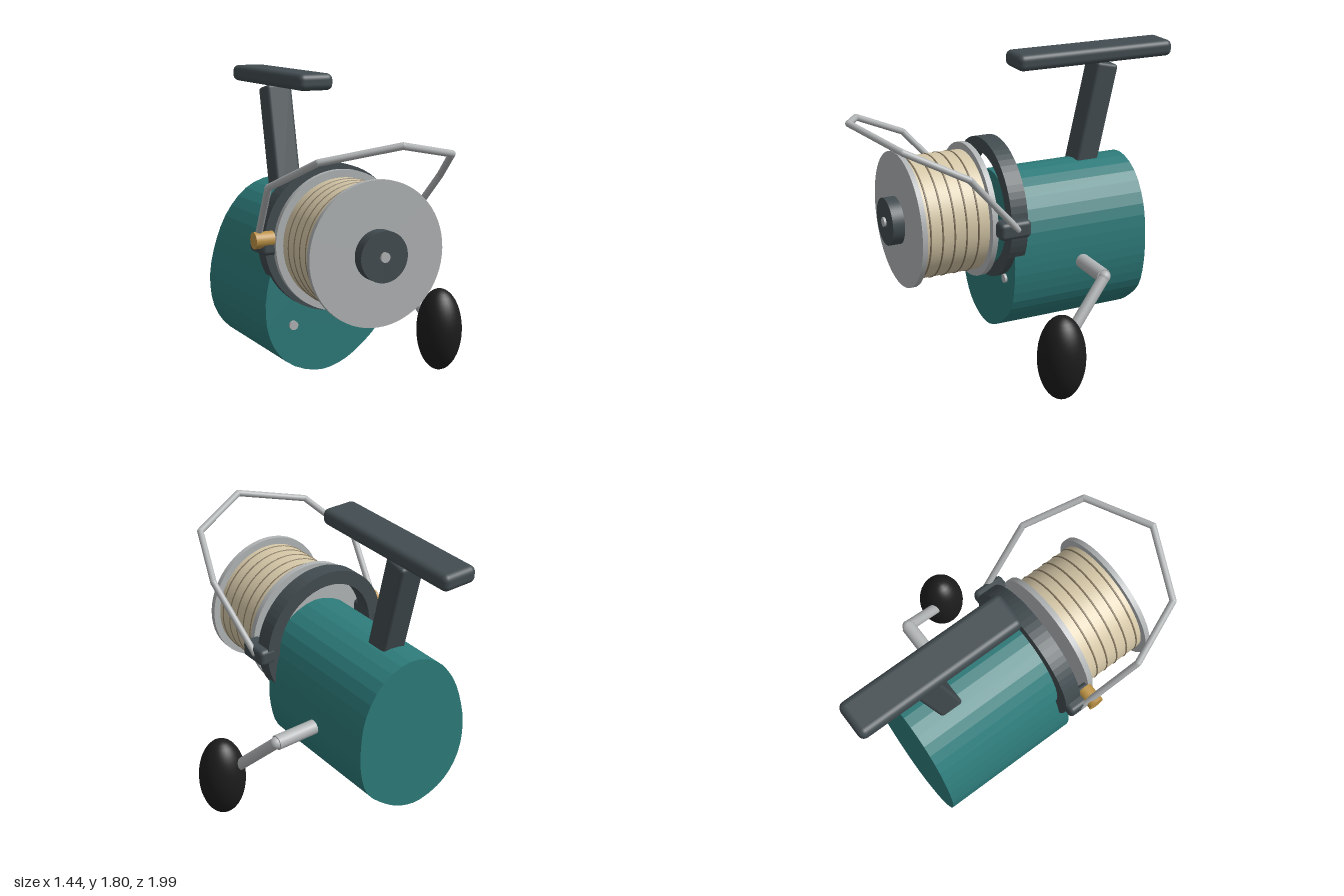
import * as THREE from 'three';
import { RoundedBoxGeometry } from 'three/addons/geometries/RoundedBoxGeometry.js';

const AX = -0.195, AY = 0.905; // spool axis

export function createModel() {
  const root = new THREE.Group();
  root.name = 'fishingReel';
  const mat = (name, color) => {
    const m = new THREE.MeshStandardMaterial({ color });
    m.name = name;
    return m;
  };
  const teal = mat('teal', 0x2d7b7a);
  const dark = mat('darkGrey', 0x424c50);
  const steel = mat('steel', 0xb2b5b6);
  const tan = mat('lineTan', 0xd6c8a8);
  const brown = mat('lineShadow', 0x85775f);
  const black = mat('gripBlack', 0x1c1c1c);
  const brass = mat('brass', 0xbd9346);

  const add = (name, geo, material, x = 0, y = 0, z = 0) => {
    const mesh = new THREE.Mesh(geo, material);
    mesh.name = name;
    mesh.position.set(x, y, z);
    root.add(mesh);
    return mesh;
  };
  // Disc or shaft along z on the spool axis
  const disc = (name, r, z0, z1, material, x = AX, y = AY, seg = 64) =>
    add(name, new THREE.CylinderGeometry(r, r, z1 - z0, seg).rotateX(Math.PI / 2), material, x, y, (z0 + z1) / 2);
  // Straight rod between two points
  const rod = (name, a, b, r, material) => {
    const dir = b.clone().sub(a);
    const mesh = add(name, new THREE.CylinderGeometry(r, r, dir.length(), 16), material);
    mesh.position.copy(a).add(b).multiplyScalar(0.5);
    mesh.quaternion.setFromUnitVectors(new THREE.Vector3(0, 1, 0), dir.normalize());
    return mesh;
  };
  const V = (x, y, z) => new THREE.Vector3(x, y, z);

  // Gear housing: egg-shaped outline extruded along z
  const outline = [
    [0.17, 0.7], [0.14, 0.89], [0.03, 1.06], [-0.15, 1.132], [-0.33, 1.08], [-0.47, 0.93],
    [-0.555, 0.73], [-0.59, 0.52], [-0.555, 0.33], [-0.45, 0.2], [-0.27, 0.14],
    [-0.13, 0.17], [-0.01, 0.245], [0.115, 0.37], [0.165, 0.54],
  ].map(([x, y]) => V(x, y, 0));
  const curve = new THREE.CatmullRomCurve3(outline, true);
  const shape = new THREE.Shape(curve.getPoints(44).slice(0, -1).map((p) => new THREE.Vector2(p.x, p.y)));
  add('body', new THREE.ExtrudeGeometry(shape, { depth: 0.85, bevelEnabled: false }), teal, 0, 0, -0.69);
  [[-0.425, 0.42], [0.04, 0.535]].forEach(([x, y]) => disc('screw', 0.026, 0.13, 0.175, steel, x, y, 16));

  // Mounting stem and foot
  const stem = add('stem', new RoundedBoxGeometry(0.16, 0.75, 0.14, 3, 0.02), dark, AX, 1.325, -0.495);
  stem.rotation.x = -0.225;
  add('foot', new RoundedBoxGeometry(0.215, 0.095, 1.0, 4, 0.035), dark, AX, 1.748, -0.495);

  // Rotor ring with its two arms
  const ringShape = new THREE.Shape().absarc(0, 0, 0.412, 0, Math.PI * 2);
  ringShape.holes.push(new THREE.Path().absarc(0, 0, 0.33, 0, Math.PI * 2, true));
  add('rotorRing', new THREE.ExtrudeGeometry(ringShape, { depth: 0.1, bevelEnabled: false, curveSegments: 32 }),
    dark, AX, AY, 0.1);
  for (const s of [1, -1]) {
    add('rotorArm', new RoundedBoxGeometry(0.11, 0.1, 0.19, 3, 0.025), dark, AX + s * 0.407, AY, 0.192);
  }
  add('lineRoller', new THREE.CylinderGeometry(0.046, 0.046, 0.11, 24).rotateZ(Math.PI / 2), brass, -0.637, 0.938, 0.247);

  // Bail wire: angular hoop mirrored about the spool axis
  const half = [[0.45, 0.91, 0.18], [0.513, 1.26, 0.49], [0.385, 1.42, 0.815], [0, 1.5, 0.98]];
  const bail = [
    ...half.map(([x, y, z]) => V(AX + x, y, z)),
    ...half.slice(0, 3).reverse().map(([x, y, z]) => V(AX - x, y, z)),
  ];
  bail.forEach((p, i) => {
    add('bailJoint', new THREE.SphereGeometry(0.019, 12, 8), steel, p.x, p.y, p.z);
    if (i) rod('bailWire', bail[i - 1], p, 0.019, steel);
  });

  // Spool: shaft, flanges, wound line and front drag knob
  disc('shaft', 0.027, 0.1, 0.81, steel, AX, AY, 20);
  disc('rearFlange', 0.392, 0.272, 0.305, steel);
  disc('frontFlange', 0.392, 0.69, 0.72, steel);
  disc('woundLine', 0.35, 0.3, 0.695, tan);
  for (let i = 0; i < 5; i++) {
    add('lineGroove', new THREE.TorusGeometry(0.348, 0.006, 6, 64), brown, AX, AY, 0.372 + i * 0.071);
  }
  disc('dragKnob', 0.137, 0.727, 0.797, dark);

  // Crank: axle, arm and oval grip
  const elbow = V(0.435, 0.615, -0.27);
  rod('crankAxle', V(0.05, 0.615, -0.27), V(0.43, 0.615, -0.27), 0.043, steel);
  add('crankElbow', new THREE.SphereGeometry(0.035, 16, 12), steel, elbow.x, elbow.y, elbow.z);
  rod('crankArm', elbow, V(0.54, 0.28, 0.05), 0.033, steel);
  add('grip', new THREE.SphereGeometry(1, 32, 20).scale(0.137, 0.25, 0.137), black, 0.58, 0.25, 0.07);

  return root;
}
